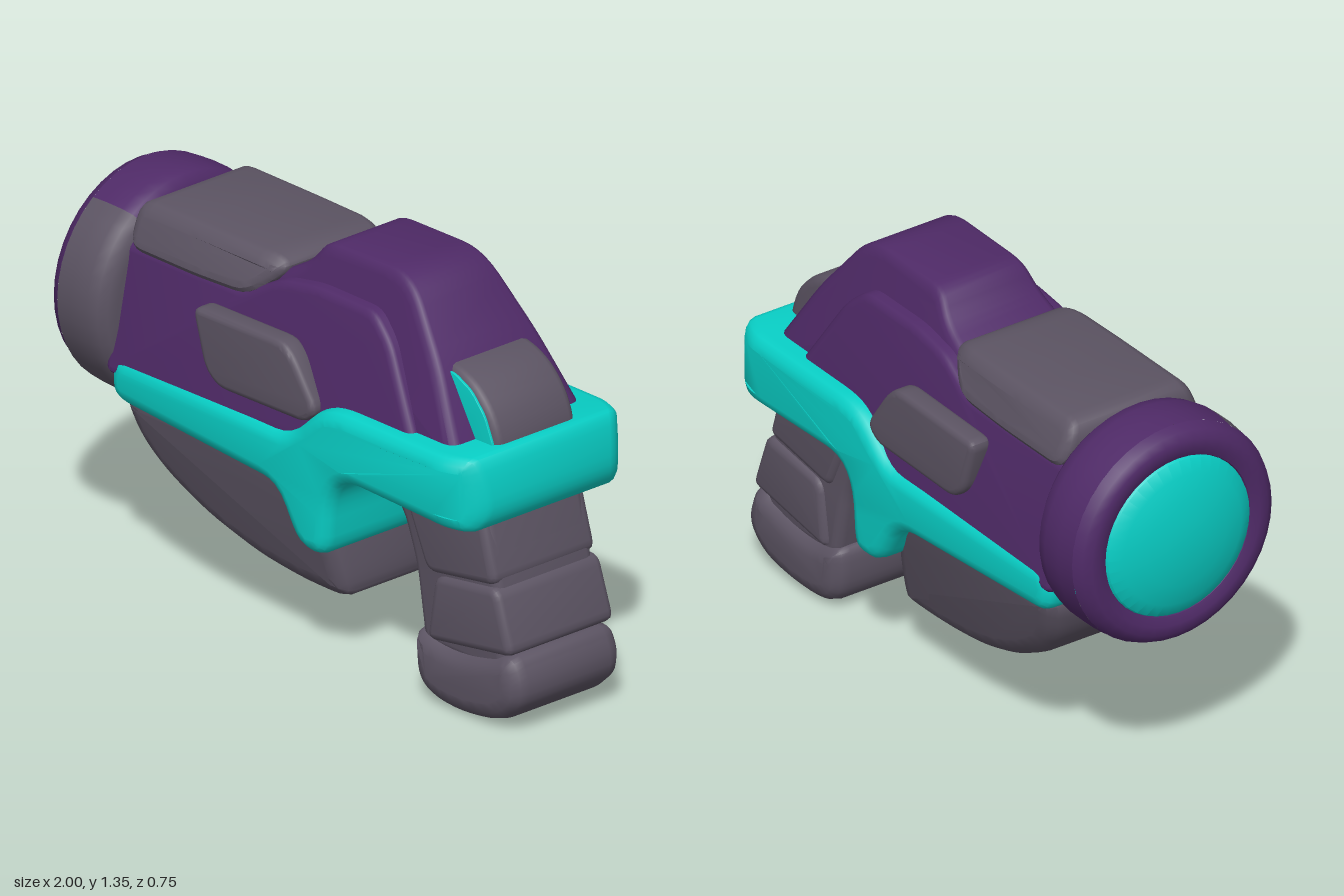
import * as THREE from 'three';
import { toCreasedNormals } from 'three/addons/utils/BufferGeometryUtils.js';

const material = (name, color) => {
  const m = new THREE.MeshStandardMaterial({ color });
  m.name = name;
  return m;
};

// Closed outline with every corner rounded
function roundedShape(pts, r) {
  const v = pts.map(p => new THREE.Vector2(...p));
  const shape = new THREE.Shape();
  v.forEach((p, i) => {
    const prev = v[(i + v.length - 1) % v.length], next = v[(i + 1) % v.length];
    const toward = q => p.clone().lerp(q, Math.min(r / p.distanceTo(q), 0.45));
    const a = toward(prev), b = toward(next);
    if (i === 0) shape.moveTo(a.x, a.y); else shape.lineTo(a.x, a.y);
    shape.quadraticCurveTo(p.x, p.y, b.x, b.y);
  });
  shape.closePath();
  return shape;
}

// Side outline made solid across z, bevelled; half width changes by slope per unit of height
// above y0, and is scaled along the length by plan(x)
function slab(pts, half, bevel, { corner = bevel * 1.6, y0 = 0, slope = 0, plan = () => 1 } = {}) {
  const g = new THREE.ExtrudeGeometry(roundedShape(pts, corner), {
    depth: 2 * (half - bevel), curveSegments: 4,
    bevelSize: bevel, bevelThickness: bevel, bevelOffset: -bevel, bevelSegments: 3,
  });
  g.translate(0, 0, bevel - half);
  const p = g.attributes.position;
  for (let i = 0; i < p.count; i++) {
    p.setZ(i, p.getZ(i) * plan(p.getX(i)) * (1 + slope * (p.getY(i) - y0) / half));
  }
  return toCreasedNormals(g, 0.6);
}

// Profile [radius, distance forward] turned about the barrel axis; angles in degrees above +z
function turned(profile, from = 0, to = 360) {
  const rad = THREE.MathUtils.degToRad;
  const g = new THREE.LatheGeometry(profile.map(p => new THREE.Vector2(...p)),
    Math.ceil((to - from) / 9), rad(from), rad(to - from));
  g.rotateZ(Math.PI / 2).translate(0, 0.9, 0);
  return toCreasedNormals(g.toNonIndexed(), 0.75);
}

export function createModel() {
  const model = new THREE.Group();
  model.name = 'toyBlaster';
  const purple = material('purple', 0x4f2a67);
  const grey = material('grey', 0x5c5463);
  const teal = material('teal', 0x08cec5);
  const add = (name, geometry, mat) => {
    const mesh = new THREE.Mesh(geometry, mat);
    mesh.name = name;
    model.add(mesh);
    return mesh;
  };

  // Main shell and the narrower raised hump
  add('body', slab([[-0.74, 0.7], [-0.74, 1.12], [-0.2, 1.12], [-0.05, 1.2], [0.1, 1.225],
    [0.36, 1.225], [0.45, 1.15], [0.63, 0.86], [0.63, 0.75]], 0.3, 0.025, { y0: 0.88, slope: -0.2 }), purple);
  add('hump', slab([[-0.14, 1.1], [-0.12, 1.19], [0.01, 1.26], [0.07, 1.345], [0.4, 1.352], [0.48, 1.31],
    [0.63, 1.12], [0.8, 0.84], [0.1, 0.84]], 0.265, 0.035, { y0: 0.92, slope: -0.25 }), purple);

  // Cover over the barrel, narrowing at its rear end
  add('topCover', slab([[-0.71, 1.1], [-0.71, 1.255], [-0.4, 1.256], [-0.1, 1.255], [-0.055, 1.215], [-0.17, 1.11],
    [-0.4, 1.1]], 0.28, 0.04,
    { y0: 1.1, slope: -0.4, plan: x => 1 - 0.15 * Math.max(0, (x + 0.2) / 0.14) ** 2 }), grey);

  // Frame with rails, trigger tab and a rear hoop that rounds off in plan
  const framePlan = x => x > 0.76 ? 1 - 0.24 * ((x - 0.76) / 0.165) ** 2 : 1 - 0.06 * Math.max(0, 0.1 - x);
  add('frame', slab([[-0.72, 0.77], [0.1, 0.765], [0.21, 0.875], [0.3, 0.91], [0.76, 0.913], [0.83, 0.915],
    [0.89, 0.915], [0.925, 0.75], [0.88, 0.67], [0.82, 0.672], [0.74, 0.675], [0.34, 0.685], [0.285, 0.61],
    [0.27, 0.405], [0.14, 0.405], [0.04, 0.58], [-0.72, 0.62]], 0.35, 0.045, { plan: framePlan }), teal);
  add('frameUnderside', slab([[0.35, 0.72], [0.35, 0.676], [0.8, 0.664], [0.8, 0.72]], 0.27, 0.01), grey);

  // Foregrip under the barrel
  add('foregrip', slab([[-0.71, 0.66], [-0.67, 0.5], [-0.57, 0.39], [-0.4, 0.29], [-0.2, 0.225], [0, 0.2],
    [0.2, 0.2], [0.21, 0.27], [0.18, 0.45], [0.1, 0.66]], 0.24, 0.06,
    { corner: 0.08, y0: 0.36, slope: 0.25 }), grey);

  // Raised side panels
  const panel = slab([[-0.345, 1.05], [0.06, 1.058], [0.11, 1.02], [0.215, 0.87], [0.16, 0.82],
    [-0.23, 0.812], [-0.29, 0.86]], 0.04, 0.02, { corner: 0.04 });
  for (const side of [-1, 1]) add(side > 0 ? 'frontPanel' : 'backPanel', panel, grey).position.z = side * 0.295;

  // Rear cap with a coloured inlay on one side
  add('rearCap', slab([[0.58, 1.12], [0.66, 1.115], [0.74, 1.08], [0.81, 1.01], [0.85, 0.92], [0.85, 0.82],
    [0.58, 0.82]], 0.165, 0.03), grey);
  add('rearCapInlay', slab([[0.6, 1.1], [0.66, 1.1], [0.735, 1.065], [0.795, 1], [0.835, 0.91], [0.835, 0.85],
    [0.6, 0.85]], 0.0045, 0.002, { corner: 0.02 }), teal).position.z = 0.166;

  // Grip: core, two raised sections and the base
  add('gripCore', slab([[0.32, 0.74], [0.33, 0.68], [0.45, 0.59], [0.51, 0.43], [0.55, 0.18], [0.92, 0.18],
    [0.89, 0.45], [0.82, 0.74]], 0.2, 0.03), grey);
  add('gripUpper', slab([[0.44, 0.72], [0.815, 0.72], [0.89, 0.475], [0.575, 0.425]], 0.212, 0.025), grey);
  add('gripLower', slab([[0.615, 0.43], [0.895, 0.472], [0.968, 0.265], [0.58, 0.205]], 0.218, 0.025), grey);
  add('gripBase', slab([[0.515, 0.215], [0.52, 0.08], [0.58, 0.015], [0.72, 0], [0.9, 0.025], [0.99, 0.1],
    [1, 0.18], [0.955, 0.27], [0.85, 0.235], [0.68, 0.205], [0.55, 0.235]], 0.226, 0.06, { corner: 0.08 }), grey);

  // Muzzle ring: band in coloured arcs, front lip, and domed lens
  const band = [[0, 0.7], [0.31, 0.7], [0.345, 0.707], [0.366, 0.73], [0.375, 0.77], [0.376, 0.84], [0.37, 0.905]];
  const lip = [[0.37, 0.905], [0.355, 0.937], [0.33, 0.953], [0.3, 0.955], [0.272, 0.943], [0.255, 0.9]];
  add('muzzleBandGrey', turned(band, -60, 53), grey);
  add('muzzleBandTeal', turned(band, -99, -60), teal);
  add('muzzleBandLowerGrey', turned(band, -112, -99), grey);
  add('muzzleBandPurple', turned(band, 53, 248), purple);
  add('muzzleLip', turned(lip), purple);
  add('lens', turned([[0.28, 0.91], [0.265, 0.947], [0.22, 0.968], [0.15, 0.986], [0.08, 0.997], [0, 1]]), teal);

  return model;
}
